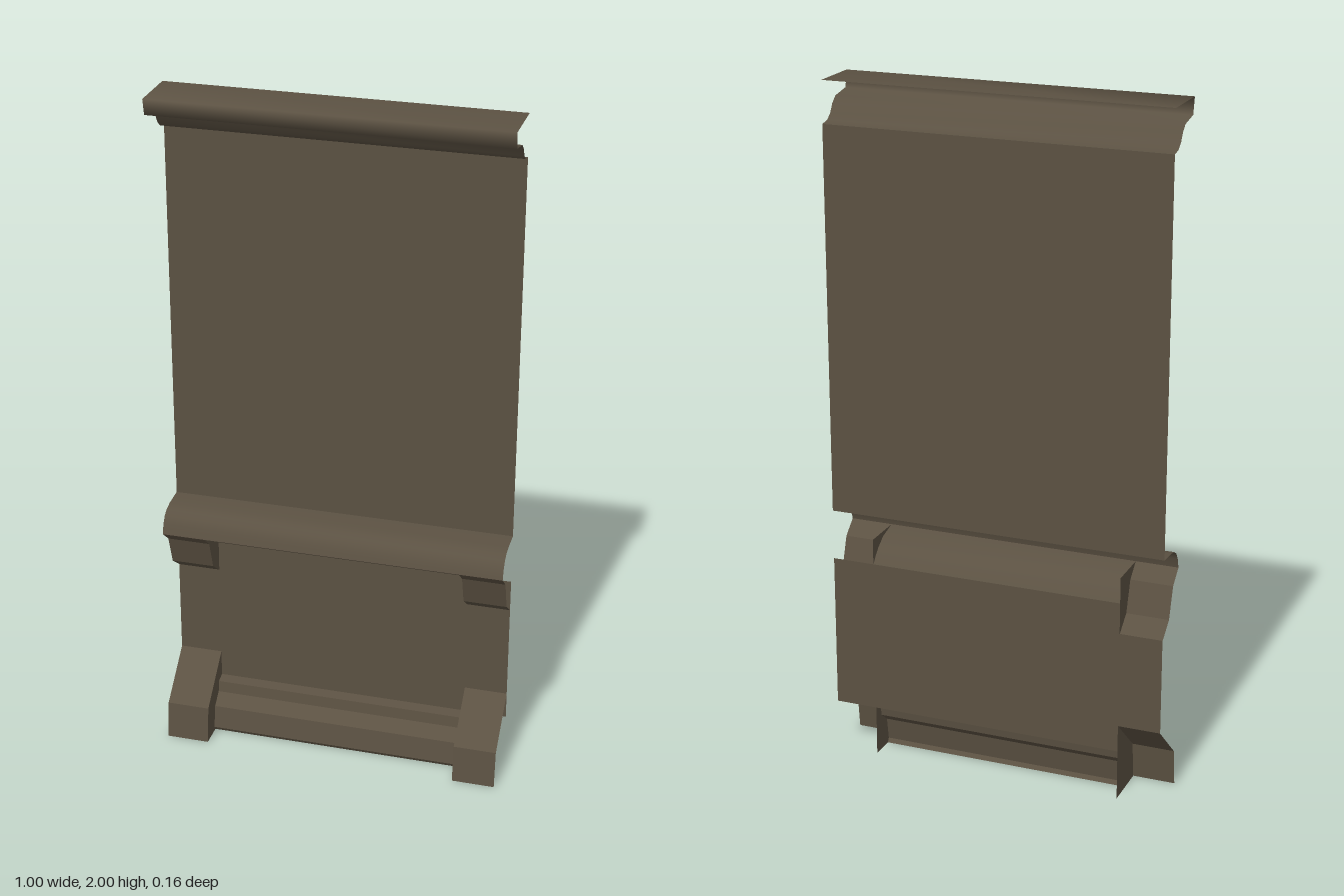
import * as THREE from 'three';

const wood = new THREE.MeshStandardMaterial({ color: 0x5b5142, side: THREE.DoubleSide });
wood.name = 'dark brown wood';

const WALL = -0.08; // depth of the wall sheet
const HALF = 0.5;
const INNER = 0.375; // inner edge of the corner blocks

// Sweeps a [z, y] profile, listed from top to bottom, between x0 and x1
function molding(profile, x0, x1, smooth) {
  const pos = [];
  const index = [];
  profile.forEach(([z, y], i) => {
    pos.push(x0, y, z, x1, y, z);
    if (i) {
      const a = 2 * (i - 1);
      index.push(a, a + 2, a + 3, a, a + 3, a + 1);
    }
  });
  let geo = new THREE.BufferGeometry();
  geo.setAttribute('position', new THREE.Float32BufferAttribute(pos, 3));
  geo.setIndex(index);
  if (!smooth) geo = geo.toNonIndexed();
  geo.computeVertexNormals();
  return geo;
}

function shapeOf(points) {
  return new THREE.ShapeGeometry(new THREE.Shape(points.map(([x, y]) => new THREE.Vector2(x, y))));
}

export function createModel() {
  const model = new THREE.Group();
  model.name = 'wallPanel';
  const add = (name, geo, parent = model) => {
    const mesh = new THREE.Mesh(geo, wood);
    mesh.name = name;
    parent.add(mesh);
    return mesh;
  };

  // Upper wall sheet
  add('upperPanel', shapeOf([[-HALF, 0.755], [HALF, 0.755], [HALF, 1.88], [-HALF, 1.88]]))
    .position.z = WALL;

  // Lower wall sheet, notched behind the blocks at one end
  add('lowerPanel', shapeOf([
    [-INNER, 0.15], [HALF, 0.15], [HALF, 0.607], [-INNER, 0.607],
    [-INNER, 0.515], [-HALF, 0.515], [-HALF, 0.23], [-INNER, 0.23],
  ])).position.z = WALL;

  // Crown along the top
  add('crown', molding([
    [WALL, 2], [0.08, 2], [0.07, 1.953], [0.005, 1.942],
    [-0.015, 1.925], [-0.03, 1.9], [-0.05, 1.885], [WALL, 1.88],
  ], -HALF, HALF, true));

  // Rounded chair rail and the cove beneath it
  add('chairRail', molding([
    [WALL, 0.755], [-0.02, 0.752], [0.01, 0.745], [0.028, 0.733], [0.042, 0.712], [0.05, 0.683],
  ], -HALF, HALF, true));
  add('railCove', molding([
    [0.05, 0.683], [-0.01, 0.668], [-0.045, 0.645], [-0.065, 0.625], [WALL, 0.605],
  ], -INNER, INNER, true));

  // Stepped skirting between the foot blocks
  add('skirting', molding([
    [WALL, 0.15], [-0.05, 0.143], [-0.045, 0.11], [-0.008, 0.08], [0.003, 0.012], [-0.005, 0],
  ], -INNER, INNER, false));

  // Corner blocks: open towards the neighbouring panel, closed on the inner side
  const blocks = {
    bracket: {
      front: [[0.05, 0.683], [0.005, 0.645], [-0.025, 0.555], [WALL, 0.513]],
      back: [[WALL, 0.683]],
    },
    footBlock: {
      front: [[WALL, 0.23], [0.055, 0.11], [0.068, 0]],
      back: [[WALL, 0]],
    },
  };
  for (const [name, { front, back }] of Object.entries(blocks)) {
    for (const side of [-1, 1]) {
      const block = new THREE.Group();
      block.name = (side > 0 ? 'left ' : 'right ') + name;
      const xs = side > 0 ? [INNER, HALF] : [-HALF, -INNER];
      add(name + 'Front', molding(front, xs[0], xs[1], false), block);
      const cheek = add(name + 'Cheek', shapeOf([...front, ...back]).rotateY(-Math.PI / 2), block);
      cheek.position.x = side * INNER;
      model.add(block);
    }
  }

  return model;
}
